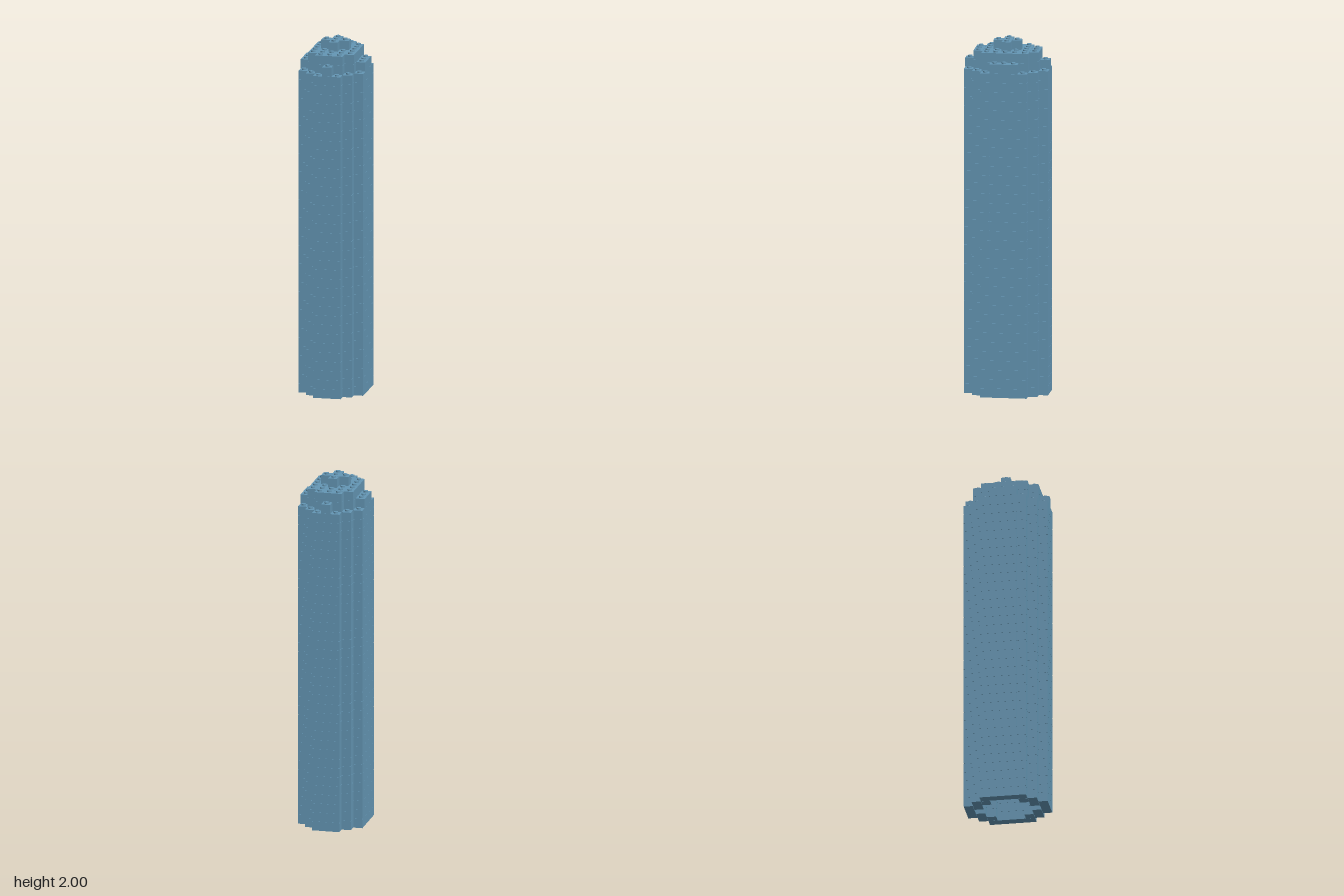
import * as THREE from 'three';
import { mergeGeometries } from 'three/addons/utils/BufferGeometryUtils.js';

const U = 0.0524;      // stud pitch and brick height
const GAP = 0.0012;    // hairline joint between bricks
const STUD_H = 2 - 38 * U;

// A brick covers cells x0..x1, z0..z1 of one layer
function brick([x0, x1, z0, z1], layer) {
  const g = new THREE.BoxGeometry((x1 - x0 + 1) * U - GAP, U - GAP / 2, (z1 - z0 + 1) * U - GAP);
  return g.translate((x0 + x1) / 2 * U, (layer + 0.5) * U - GAP / 4, (z0 + z1) / 2 * U);
}

function stud(x, z, layer) {
  const g = new THREE.CylinderGeometry(0.0125, 0.0125, STUD_H, 16);
  return g.translate(x * U, (layer + 1) * U + STUD_H / 2, z * U);
}

const covers = (bricks, x, z) =>
  bricks.some(([x0, x1, z0, z1]) => x >= x0 && x <= x1 && z >= z0 && z <= z1);

// Hollow stepped ring of the tower shaft
function ring(layer) {
  const bricks = [];
  for (const s of [-1, 1]) {
    bricks.push([-1, 1, 4 * s, 4 * s]);
    for (const t of [-1, 1]) {
      bricks.push(t > 0 ? [1, 2, 3 * s, 3 * s] : [-2, -1, 3 * s, 3 * s]);
      bricks.push([2 * t, 2 * t, 2 * s, 2 * s]);
    }
    // long side wall, jointed through the middle storeys
    if (layer >= 8 && layer < 33) bricks.push([3 * s, 3 * s, -2, 1], [3 * s, 3 * s, 2, 2]);
    else bricks.push([3 * s, 3 * s, -2, 2]);
  }
  return bricks;
}

// Inner terrace shape, one stud in from the shaft
const terrace = [[-2, 2, -2, 2], [-1, 1, -3, -3], [-1, 1, 3, 3]];

function layerBricks(layer) {
  if (layer < 34) return ring(layer);
  if (layer === 34) return [...ring(layer), [-1, 1, -2, 2], [0, 0, -3, -3], [0, 0, 3, 3],
    [-2, -2, -1, 1], [2, 2, -1, 1]];
  if (layer === 35) return [...terrace, [0, 0, -4, -4], [0, 0, 4, 4],
    [-3, -3, -1, 1], [3, 3, -1, 1]];
  if (layer === 36) return terrace;
  return [[-1, 1, 0, 0], [0, 0, -1, -1], [0, 0, 1, 1]];
}

export function createModel() {
  const group = new THREE.Group();
  group.name = 'brickTower';
  const blue = new THREE.MeshStandardMaterial({ color: 0x6496b4 });
  blue.name = 'sand blue';

  const add = (name, parts) => {
    const mesh = new THREE.Mesh(mergeGeometries(parts), blue);
    mesh.name = name;
    group.add(mesh);
  };

  for (let layer = 0; layer < 38; layer++) {
    const bricks = layerBricks(layer);
    const name = layer < 35 ? 'shaftLayer' : layer === 35 ? 'crenellations' : layer === 36 ? 'terrace' : 'crown';
    add(name, bricks.map((b) => brick(b, layer)));

    // studs only where nothing stands above
    const above = layer < 37 ? layerBricks(layer + 1) : [];
    const studs = [];
    for (let x = -3; x <= 3; x++) {
      for (let z = -4; z <= 4; z++) {
        if (covers(bricks, x, z) && !covers(above, x, z)) studs.push(stud(x, z, layer));
      }
    }
    if (studs.length) add('studs', studs);
  }
  return group;
}
